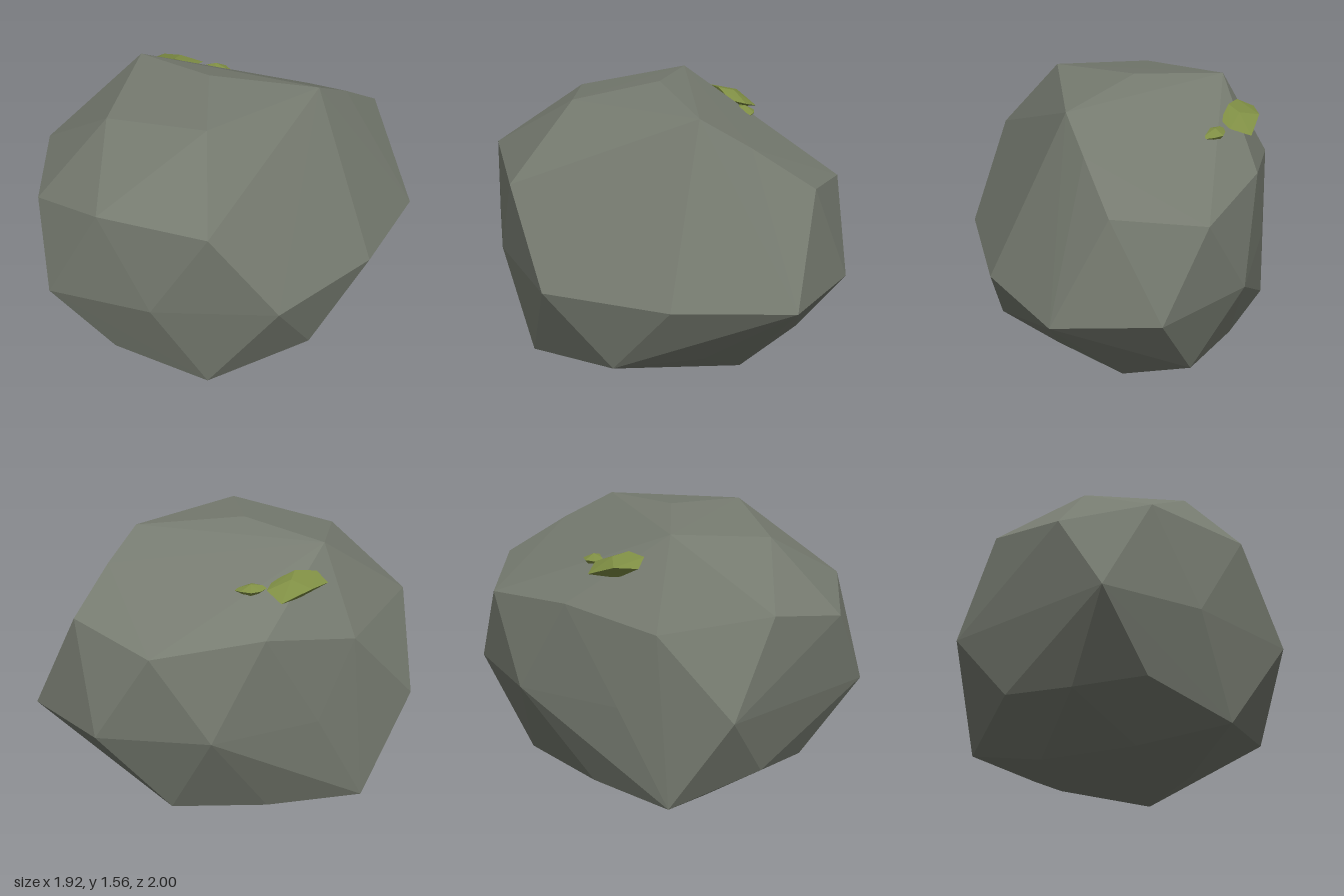
import * as THREE from 'three';
import { ConvexGeometry } from 'three/addons/geometries/ConvexGeometry.js';

const stone = new THREE.MeshStandardMaterial({ color: 0x767b70 });
stone.name = 'grey stone';
const mossGreen = new THREE.MeshStandardMaterial({ color: 0x7f8e44 });
mossGreen.name = 'moss green';

// Faceted solid wrapped around a handful of corners
function facetedSolid(name, corners, material) {
  const geometry = new ConvexGeometry(corners.map(c => new THREE.Vector3(...c)));
  const mesh = new THREE.Mesh(geometry, material);
  mesh.name = name;
  return mesh;
}

// Corner at a fixed height, from [x, z]
const atHeight = y => ([x, z]) => [x, y, z];

export function createModel() {
  const group = new THREE.Group();
  group.name = 'mossyBoulder';

  // Boulder corners, ring by ring
  const crown = [
    [0, 1.56, 0.02], [0.55, 1.52, -0.2], [-0.5, 1.51, -0.11],
    [-0.37, 1.43, 0.48], [0.23, 1.52, 0.48], [0.6, 1.38, -0.47],
  ];
  const shoulder = [
    [-0.62, 1.04, 0.8], [-0.16, 1.15, 0.95], [0.41, 1.1, 0.81], [0.65, 1.18, -0.8],
    [0.16, 1.08, -0.96], [-0.36, 1.136, -0.65], [-0.72, 1.04, -0.24], [-0.83, 1.13, 0.36],
  ];
  const waist = [
    [-0.45, 1], [0.12, 0.91], [0.73, 0.62], [0.96, -0.06], [0.95, -0.71],
    [0.46, -1], [-0.14, -0.87], [-0.58, -0.42], [-0.96, 0.11],
  ].map(atHeight(0.61));
  const skirt = [
    [0.36, 0.09, 0.72], [0.75, 0.18, 0.25], [0.65, 0.19, -0.23], [0.13, 0.14, -0.77],
    [-0.32, 0.09, -0.5], [-0.77, 0.08, -0.19], [-0.74, 0.24, 0.33],
    [-0.48, 0.2, 0.64], [-0.15, 0.23, 0.84],
  ];
  const base = [
    [0.38, 0.13], [0.36, -0.44], [-0.21, -0.35], [-0.47, 0.1], [-0.07, 0.47],
  ].map(atHeight(0));
  group.add(facetedSolid('boulder', [...crown, ...shoulder, ...waist, ...skirt, ...base], stone));

  // Two moss tufts on the sloping back
  group.add(facetedSolid('largeMossTuft', [
    [-0.58, 1.36, -0.3], [-0.53, 1.36, -0.42], [-0.4, 1.3, -0.53], [-0.3, 1.34, -0.47],
    [-0.3, 1.36, -0.38], [-0.4, 1.41, -0.31], [-0.5, 1.4, -0.25],
    [-0.41, 1.39, -0.4], [-0.44, 1.28, -0.38],
  ], mossGreen));
  group.add(facetedSolid('smallMossTuft', [
    [-0.3, 1.34, -0.4], [-0.27, 1.33, -0.47], [-0.23, 1.33, -0.51], [-0.17, 1.33, -0.51],
    [-0.1, 1.32, -0.47], [-0.2, 1.35, -0.41], [-0.21, 1.36, -0.46], [-0.2, 1.26, -0.46],
  ], mossGreen));

  return group;
}
